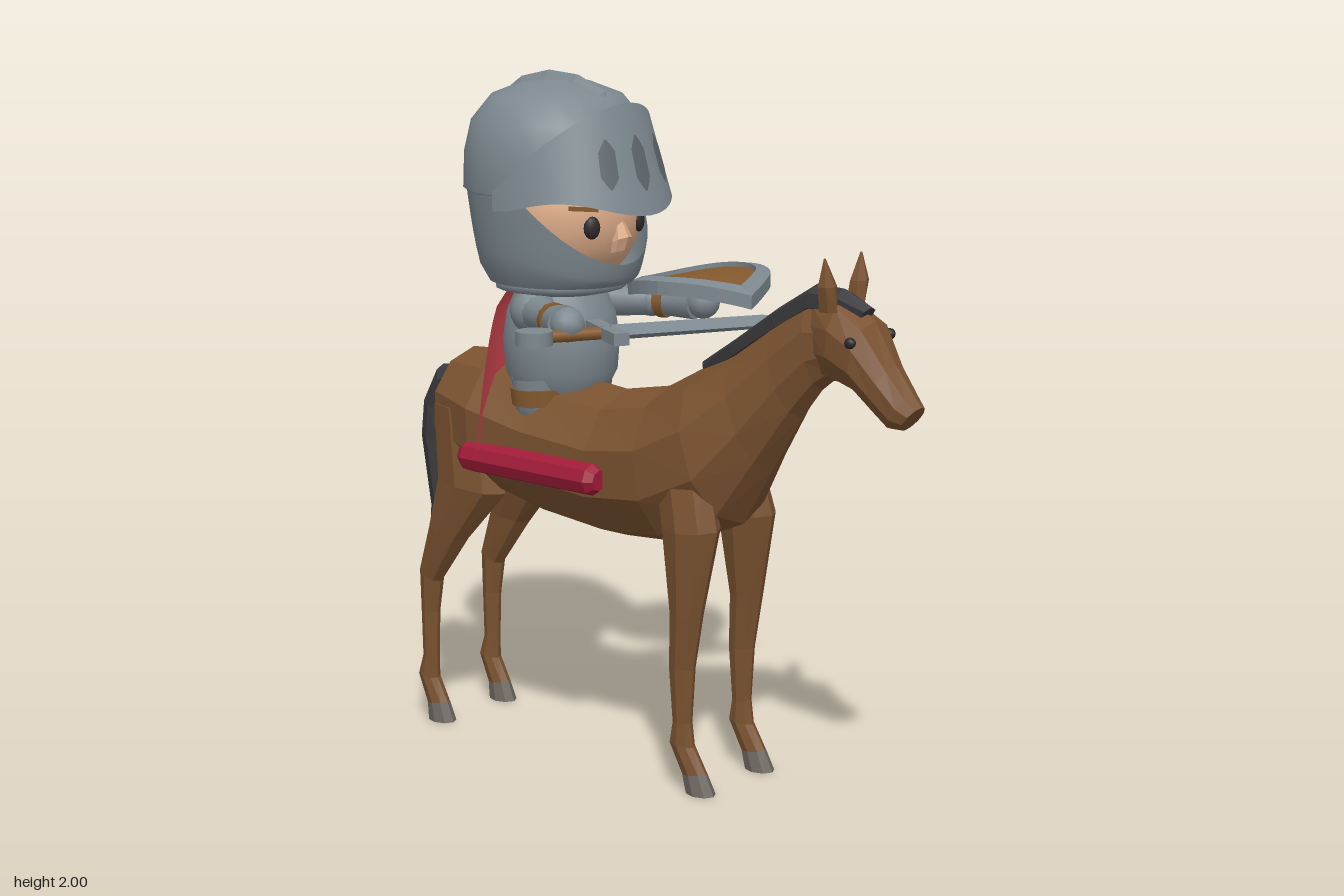
import * as THREE from 'three';

const mat = (name, color, side = THREE.FrontSide) => Object.assign(new THREE.MeshStandardMaterial({ color, side }), { name });
const M = {
  coat: mat('horse coat', 0x7a5230),
  hair: mat('mane and tail', 0x3a3a3d),
  hoof: mat('hoof', 0x6c655f),
  steel: mat('steel', 0x7d8990, THREE.DoubleSide),
  slit: mat('dark steel', 0x5d676d, THREE.DoubleSide),
  leather: mat('leather', 0x855a2f, THREE.DoubleSide),
  cape: mat('cape red', 0xd2484f, THREE.DoubleSide),
  roll: mat('dark red', 0xa01c38),
  skin: mat('skin', 0xe0ae8a),
  dark: mat('eye', 0x2d2a2a),
};

function add(parent, name, geometry, material, pos = [0, 0, 0]) {
  const mesh = new THREE.Mesh(geometry, material);
  mesh.name = name;
  mesh.position.set(...pos);
  parent.add(mesh);
  return mesh;
}

// Surface through fn(u, v) -> [x, y, z]
function grid(fn, nu, nv) {
  const pos = [], idx = [];
  for (let j = 0; j <= nv; j++) for (let i = 0; i <= nu; i++) pos.push(...fn(i / nu, j / nv));
  for (let j = 0; j < nv; j++) for (let i = 0; i < nu; i++) {
    const a = j * (nu + 1) + i, b = a + 1, c = a + nu + 1, d = c + 1;
    idx.push(a, b, d, a, d, c);
  }
  const g = new THREE.BufferGeometry();
  g.setAttribute('position', new THREE.Float32BufferAttribute(pos, 3));
  g.setIndex(idx);
  g.computeVertexNormals();
  return g;
}

// Faceted closed body through oval rings [zTop, yTop, zBottom, yBottom, halfWidth, x]
function loft(rings, sides = 10) {
  const collapse = ([a, b, c, d, , x = 0]) => [(a + c) / 2, (b + d) / 2, (a + c) / 2, (b + d) / 2, 0, x];
  const all = [collapse(rings[0]), ...rings, collapse(rings.at(-1))], n = all.length - 1;
  const g = grid((u, v) => {
    const [zt, yt, zb, yb, w, x = 0] = all[Math.round(v * n)];
    const a = u * Math.PI * 2 + Math.PI / 2, s = Math.sin(a) / 2;
    return [x + w * Math.cos(a), (yt + yb) / 2 + s * (yt - yb), (zt + zb) / 2 + s * (zt - zb)];
  }, sides, n);
  // Turn the faces outward if the enclosed volume is negative
  const p = g.attributes.position, ix = g.index.array, v = [0, 1, 2].map(() => new THREE.Vector3());
  let volume = 0;
  for (let i = 0; i < ix.length; i += 3) {
    v.forEach((q, k) => q.fromBufferAttribute(p, ix[i + k]));
    volume += v[0].dot(v[1].clone().cross(v[2]));
  }
  if (volume < 0) for (let i = 0; i < ix.length; i += 3) [ix[i], ix[i + 1]] = [ix[i + 1], ix[i]];
  const flat = g.toNonIndexed();
  flat.computeVertexNormals();
  return flat;
}

function limb(parent, name, a, b, r1, r2, material) {
  const A = new THREE.Vector3(...a), B = new THREE.Vector3(...b), d = B.clone().sub(A);
  const mesh = add(parent, name, new THREE.CylinderGeometry(r2, r1, d.length(), 12), material);
  mesh.position.copy(A).add(B).multiplyScalar(0.5);
  mesh.quaternion.setFromUnitVectors(new THREE.Vector3(0, 1, 0), d.normalize());
}

const lathe = (pts, n = 20) => new THREE.LatheGeometry(pts.map(p => new THREE.Vector2(...p)), n);

function buildHorse() {
  const h = new THREE.Group();
  h.name = 'horse';
  add(h, 'bodyAndNeck', loft([
    [-.775, 1.06, -.765, .9, .07], [-.71, 1.15, -.73, .82, .17], [-.55, 1.16, -.53, .74, .225], [-.35, 1.12, -.32, .69, .21],
    [-.1, 1.1, -.1, .665, .2], [.06, 1.13, .12, .68, .2], [.19, 1.2, .33, .77, .185], [.32, 1.27, .43, .94, .125],
    [.44, 1.36, .53, 1.1, .085], [.56, 1.44, .6, 1.19, .07], [.66, 1.43, .65, 1.23, .06]]), M.coat);
  add(h, 'head', loft([
    [.58, 1.45, .6, 1.22, .055], [.68, 1.455, .66, 1.22, .09], [.77, 1.4, .74, 1.2, .1], [.84, 1.29, .79, 1.15, .068],
    [.9, 1.215, .83, 1.115, .053], [.925, 1.185, .87, 1.115, .04]]), M.coat);
  add(h, 'mane', loft([
    [.18, 1.215, .2, 1.17, .01], [.3, 1.295, .32, 1.24, .045], [.45, 1.4, .48, 1.34, .055], [.58, 1.48, .58, 1.4, .055],
    [.67, 1.475, .66, 1.4, .05], [.76, 1.435, .73, 1.39, .03]], 6), M.hair);
  add(h, 'tail', loft([
    [-.74, 1.09, -.74, 1.03, .03], [-.84, 1.08, -.8, 1, .05], [-.9, .97, -.82, .94, .055], [-.915, .86, -.82, .84, .055],
    [-.885, .64, -.8, .63, .045], [-.91, .49, -.895, .485, .01]], 8), M.hair);

  for (const s of [-1, 1]) {
    const x = s * .135;
    add(h, 'frontLeg', loft([
      [.28, .98, .1, .98, .06, s * .11], [.335, .77, .15, .76, .07, s * .125], [.285, .52, .185, .52, .046, x], [.26, .36, .178, .36, .034, x],
      [.25, .2, .19, .2, .026, x], [.26, .13, .178, .14, .03, x], [.305, .06, .225, .05, .029, x]], 8), M.coat);
    add(h, 'frontHoof', loft([[.305, .06, .225, .05, .03, x], [.335, 0, .24, 0, .036, x]], 8), M.hoof);
    add(h, 'hindLeg', loft([
      [-.52, 1, -.75, 1, .08, s * .11], [-.475, .75, -.735, .78, .08, s * .12], [-.62, .59, -.765, .62, .052, x], [-.735, .44, -.808, .48, .036, x],
      [-.75, .34, -.808, .35, .028, x], [-.755, .2, -.805, .2, .025, x], [-.755, .13, -.825, .14, .03, x], [-.715, .06, -.79, .05, .029, x]], 8), M.coat);
    add(h, 'hindHoof', loft([[-.715, .06, -.79, .05, .03, x], [-.69, 0, -.785, 0, .036, x]], 8), M.hoof);
    add(h, 'horseEar', loft([[.69, 1.42, .63, 1.42, .025, s * .06], [.69, 1.49, .64, 1.49, .03, s * .072], [.665, 1.565, .66, 1.565, .003, s * .082]], 6), M.coat);
    add(h, 'horseEye', new THREE.SphereGeometry(.016, 8, 6), M.dark, [s * .09, 1.35, .755]);
    // Rolled blanket on each flank
    const roll = add(h, 'blanketRoll', lathe([[0, -.265], [.03, -.265], [.047, -.24], [.047, .24], [.03, .265], [0, .265]], 8).toNonIndexed(), M.roll, [s * .203, .875, -.295]);
    roll.geometry.computeVertexNormals();
    roll.rotation.x = Math.PI / 2;
  }
  return h;
}

function buildRider() {
  const r = new THREE.Group();
  r.name = 'rider';
  const Z = -.355;
  const hips = add(r, 'hips', lathe([[0, .95], [.085, .96], [.095, 1.06], [.1, 1.12]]), M.steel, [0, 0, Z]);
  hips.scale.x = 1.9;
  const belt = add(r, 'belt', new THREE.CylinderGeometry(.108, .105, .05, 20), M.leather, [0, 1.065, Z]);
  belt.scale.x = 1.75;
  add(r, 'breastplate', lathe([[.14, 1.08], [.165, 1.13], [.172, 1.22], [.16, 1.3], [.13, 1.37], [.1, 1.42]]), M.steel, [0, 0, Z]);
  add(r, 'collar', lathe([[.13, 1.36], [.19, 1.375], [.195, 1.4], [.15, 1.42]]), M.steel, [0, 0, Z]);
  add(r, 'cape', grid((u, v) => {
    const t = u * 2 - 1, w = .13 + .118 * Math.pow(v, .45), d = .03 + .08 * Math.pow(v, .6);
    return [t * w, 1.37 - .47 * v, -.435 - d * (1 - .7 * t * t)];
  }, 12, 10), M.cape);

  // Face
  add(r, 'head', new THREE.SphereGeometry(.235, 24, 16), M.skin, [0, 1.6, -.35]);
  add(r, 'nose', loft([[-.13, 1.61, -.14, 1.595, .01], [-.095, 1.54, -.14, 1.52, .035], [-.11, 1.5, -.15, 1.49, .03]], 6), M.skin);
  for (const s of [-1, 1]) {
    const eye = add(r, 'eye', new THREE.SphereGeometry(.03, 12, 8), M.dark, [s * .102, 1.573, -.142]);
    eye.scale.set(.85, 1.1, .5);
    eye.rotation.y = s * .45;
    const brow = add(r, 'eyebrow', new THREE.BoxGeometry(.085, .012, .009), M.leather, [s * .128, 1.628, -.15]);
    brow.rotation.set(0, s * .58, s * .08);
  }

  // Helmet: dome, lower guard with face opening, raised visor
  const cz = -.365;
  add(r, 'helmetDome', lathe([[.258, 1.655], [.272, 1.665], [.268, 1.77], [.247, 1.86], [.19, 1.93], [.1, 1.965], [0, 1.975]], 24), M.steel, [0, 0, cz]);
  add(r, 'helmetGuard', grid((u, v) => {
    const a = (u * 2 - 1) * Math.PI;
    const top = Math.min(1.68, 1.46 + .28 * (1 - Math.cos(a))), y = 1.395 + v * (top - 1.395);
    const rad = .2 + .064 * Math.sqrt((y - 1.395) / .285) + .03 * Math.max(0, Math.cos(a)) ** 2;
    return [rad * Math.sin(a), y, cz + rad * Math.cos(a)];
  }, 48, 6), M.steel);
  const visor = (a, t, lift = 0) => {
    const c = Math.max(0, Math.cos(a)), top = 1.67 + .25 * c, low = 1.62 + .04 * Math.sin(2 * a) ** 2 - .01 * c;
    const rad = .28 + lift + .075 * (1 - t) * c * c - .015 * t * c;
    return [rad * Math.sin(a), low + t * (top - low), cz + rad * Math.cos(a)];
  };
  add(r, 'visor', grid((u, v) => visor((u - .5) * 3.1, v), 28, 6), M.steel);
  add(r, 'visorTopPlate', grid((u, v) => {
    const p = visor((u - .5) * 3.1, 1), k = 1 - .18 * v;
    return [p[0] * k, p[1] - .03 * v, cz + (p[2] - cz) * k];
  }, 28, 1), M.steel);
  for (const a of [-.36, 0, .36]) add(r, 'visorSlit', grid((u, v) => {
    const w = .17 * Math.min(1, v * 4 + .1, (1 - v) * 4 + .1);
    return visor(a + (u - .5) * w, .22 + .5 * v, .005);
  }, 4, 8), M.slit);

  // Three crest ridges over the dome
  const arc = [-1.25, -.9, -.5, -.1, .3, .7, 1.05].map((a, i) => {
    const out = i % 6 ? .335 : .27, s = Math.sin(a), c = Math.cos(a) ** .6;
    return [s * .85 * out, c * out, s * .22, c * .25, i % 6 ? .034 : .01];
  });
  for (const s of [-1, 0, 1]) {
    const crest = add(r, 'helmetCrest', loft(arc, 4), M.steel, [0, 1.663, cz]);
    crest.rotation.z = -s * .62;
    if (s) crest.scale.set(1, .97, .82);
  }
  return r;
}

function buildSword() {
  const s = new THREE.Group();
  s.name = 'sword';
  s.position.set(-.23, 1.3, -.01);
  s.rotation.y = 1.077;
  add(s, 'blade', loft([[0, .022, 0, -.022, .055], [.46, .02, .46, -.02, .06], [.59, .004, .59, -.004, .006]], 4), M.steel);
  add(s, 'crossguard', new THREE.BoxGeometry(.23, .035, .045), M.steel, [0, 0, -.01]);
  limb(s, 'grip', [0, 0, -.02], [0, 0, -.2], .018, .018, M.leather);
  add(s, 'pommel', new THREE.CylinderGeometry(.052, .052, .04, 14), M.steel, [0, 0, -.225]);
  return s;
}

function buildShield() {
  const g = new THREE.Group();
  g.name = 'shield';
  const tip = [.12, 1, .215];
  const edge = [tip, [.25, 1, .155], [.39, 1, .07], [.455, 1, -.04], [.445, 1, -.18], [.36, 1, -.28], [.22, 1, -.31], [.09, 1, -.22], [.02, 1, -.05], [.06, 1, .09], tip];
  const curve = new THREE.CatmullRomCurve3(edge.map(p => new THREE.Vector3(...p)));
  const point = (u, v, dy) => {
    const p = curve.getPoint(u), x = .23 + (p.x - .23) * v, z = -.06 + (p.z + .06) * v;
    return [x, 1.4 - .6 * z * z + dy, z];
  };
  const profile = [[0, -.025], [.5, -.025], [1, -.03], [1, .01], [.79, .018], [.79, 0]];
  add(g, 'shieldRim', grid((u, v) => point(u, ...profile[Math.round(v * 5)]), 40, 5).toNonIndexed(), M.steel).geometry.computeVertexNormals();
  add(g, 'shieldFace', grid((u, v) => point(u, v * .8, .004), 40, 4), M.leather);
  return g;
}

function buildArm(name, shoulder, elbow, hand) {
  const g = new THREE.Group();
  g.name = name;
  const mix = (a, b, t) => a.map((v, i) => v + (b[i] - v) * t);
  add(g, 'shoulderPlate', new THREE.SphereGeometry(.068, 14, 10), M.steel, shoulder);
  limb(g, 'upperArm', shoulder, elbow, .055, .045, M.steel);
  add(g, 'elbow', new THREE.SphereGeometry(.048, 12, 8), M.steel, elbow);
  limb(g, 'elbowStrap', mix(elbow, hand, .15), mix(elbow, hand, .32), .05, .05, M.leather);
  limb(g, 'gauntlet', mix(elbow, hand, .2), mix(elbow, hand, .85), .042, .053, M.steel);
  add(g, 'hand', new THREE.SphereGeometry(.05, 12, 8), M.steel, hand);
  return g;
}

export function createModel() {
  const model = new THREE.Group();
  model.name = 'mountedKnight';
  const centre = new THREE.Group();
  centre.name = 'horseAndRider';
  centre.position.x = -.055;
  centre.add(buildHorse(), buildRider());
  model.add(centre, buildSword(), buildShield(),
    buildArm('swordArm', [-.2, 1.32, -.33], [-.26, 1.32, -.21], [-.32, 1.325, -.09]),
    buildArm('shieldArm', [.09, 1.32, -.33], [.16, 1.32, -.19], [.19, 1.33, -.02]));
  return model;
}
